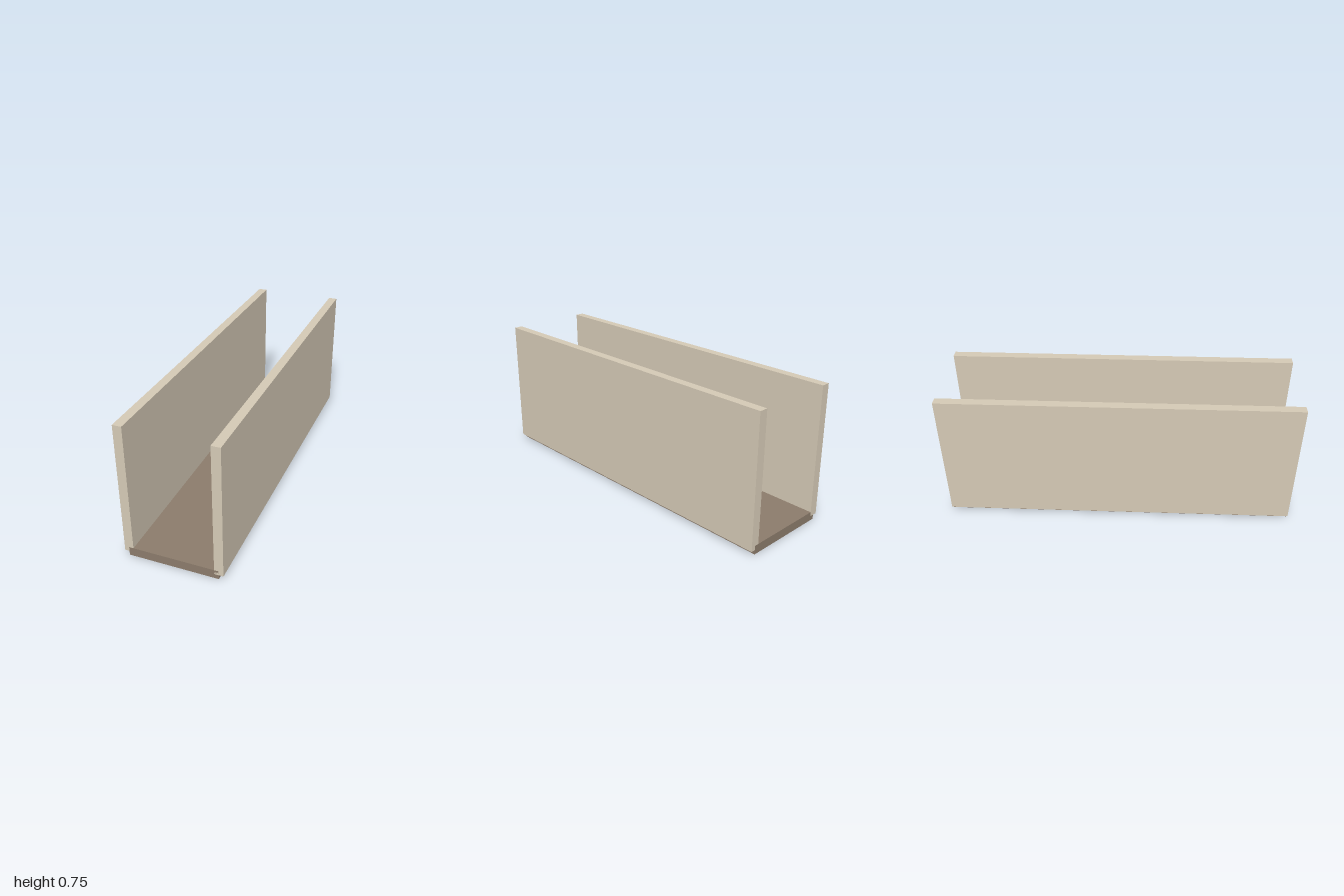
import * as THREE from 'three';

const S = 0.4859; // one layout unit

function createModel() {
  const model = new THREE.Group();
  model.name = 'corridor';

  const mat = (color) => new THREE.MeshStandardMaterial({ color, flatShading: true });
  const wallMat = mat(0xd4c9b5);
  const floorMat = mat(0x8b7b6b);
  const blueMat = mat(0x4a78b5);
  const greyMat = mat(0xcccccc);

  const add = (name, geometry, material, x, y, z) => {
    const mesh = new THREE.Mesh(geometry, material);
    mesh.name = name;
    mesh.position.set(x * S, y * S, z * S);
    model.add(mesh);
    return mesh;
  };

  // Floor slab, reaching the centre line of each wall
  add('floor', new THREE.BoxGeometry(4 * S, 0.1 * S, S), floorMat, 0, 0.05, 0);

  // Two long side walls
  for (const side of [-1, 1]) {
    add(side > 0 ? 'frontWall' : 'backWall',
      new THREE.BoxGeometry(4 * S, 1.5 * S, 0.1 * S), wallMat, 0, 0.8, side * 0.5);
  }

  // Ball in the middle of the floor
  add('centreBall', new THREE.SphereGeometry(0.1 * S, 8, 6), greyMat, 0, 0.2, 0);

  // Tapered eight-sided markers on both sides of the ball
  for (const side of [-1, 1]) {
    add(side > 0 ? 'leftMarker' : 'rightMarker',
      new THREE.CylinderGeometry(0.08 * S, 0.1 * S, 0.2 * S, 8), blueMat, side * 0.5, 0.2, 0);
  }

  // The whole corridor stands diagonally
  model.rotation.y = Math.PI / 8;
  const root = new THREE.Group();
  root.add(model);
  return root;
}

export { createModel };
